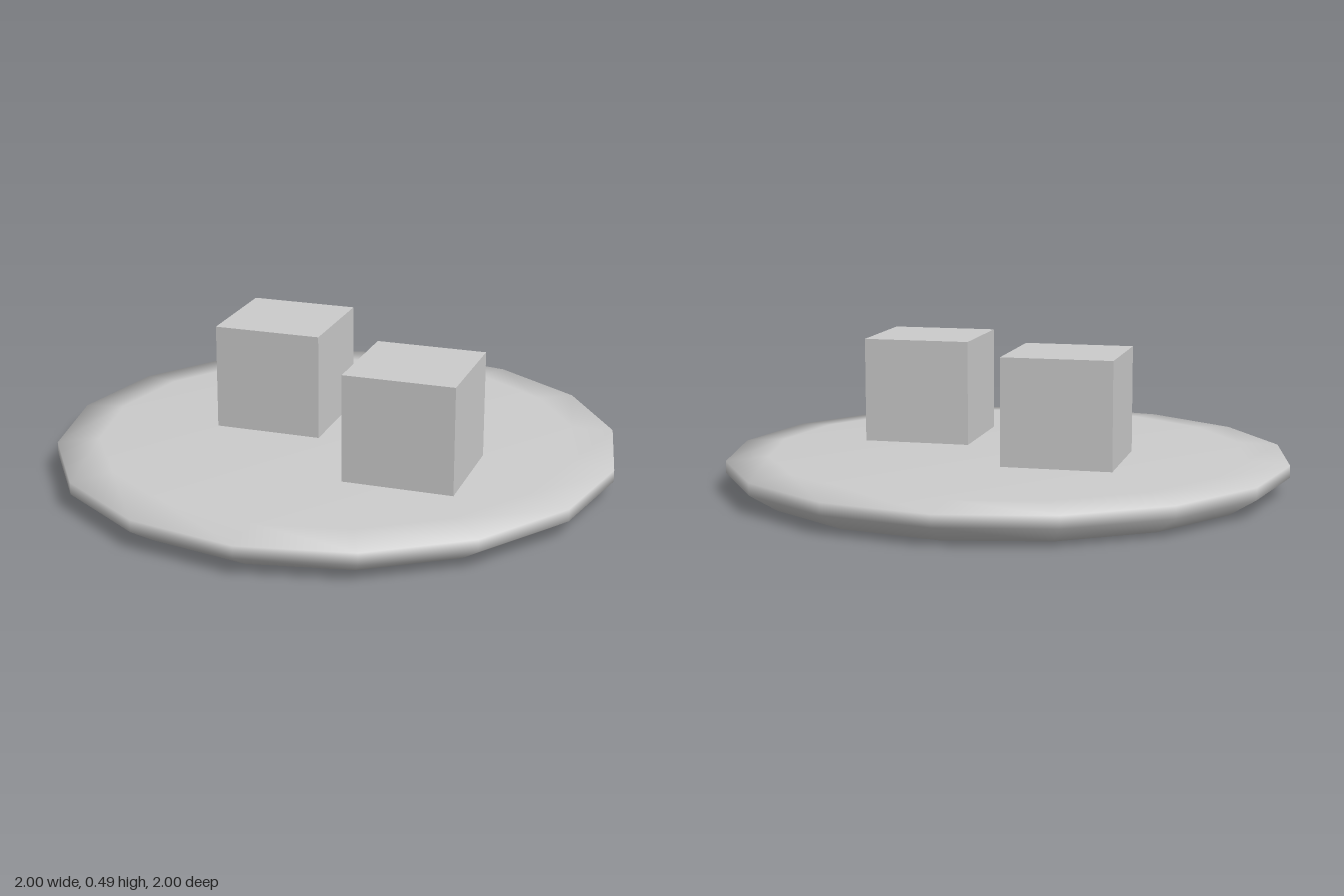
import * as THREE from 'three';

export function createModel() {
  const group = new THREE.Group();
  const grey = new THREE.MeshStandardMaterial({ color: 0xcccccc });
  grey.name = 'light grey';

  // Round plate: radius, height, then outward and upward normal for soft shading
  const profile = [
    [0, 0, 0, -1],
    [0.9, 0, 0.3, -0.95],
    [1, 0.063, 0.88, -0.48],
    [1, 0.105, 0.74, 0.67],
    [0.85, 0.118, 0.05, 1],
    [0, 0.118, 0, 1],
  ];
  const sides = 16;
  const plateGeometry = new THREE.LatheGeometry(
    profile.map(([r, y]) => new THREE.Vector2(r, y)), sides);
  const normals = plateGeometry.attributes.normal;
  for (let i = 0; i <= sides; i++) {
    const angle = (i / sides) * Math.PI * 2;
    profile.forEach(([, , out, up], j) => {
      const n = new THREE.Vector3(out * Math.sin(angle), up, out * Math.cos(angle)).normalize();
      normals.setXYZ(i * profile.length + j, n.x, n.y, n.z);
    });
  }
  const plate = new THREE.Mesh(plateGeometry, grey);
  plate.name = 'plate';
  group.add(plate);

  // Two equal cubes resting on the plate
  const size = 0.387;
  const cubeGeometry = new THREE.BoxGeometry(size, size, size);
  const addCube = (name, x, z) => {
    const cube = new THREE.Mesh(cubeGeometry, grey);
    cube.name = name;
    cube.position.set(x, 0.494 - size / 2, z);
    group.add(cube);
  };
  addCube('backCube', -0.241, -0.122);
  addCube('frontCube', 0.355, 0.236);

  return group;
}
